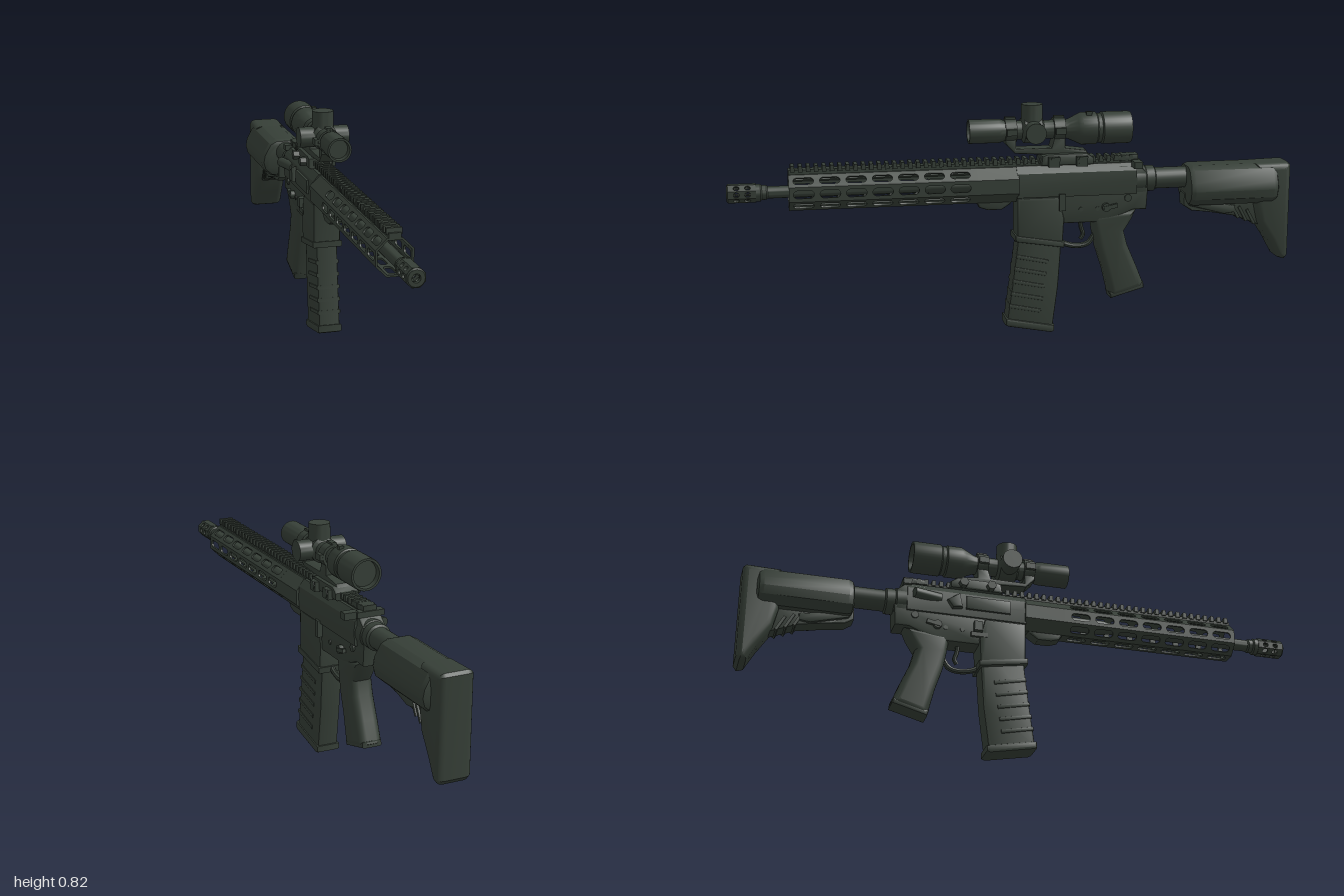
import * as THREE from 'three';
import { toCreasedNormals } from 'three/addons/utils/BufferGeometryUtils.js';

const dark = new THREE.MeshStandardMaterial({ color: 0x363f37 });
dark.name = 'dark olive';
const BORE = 0.545, SIGHT = 0.733;

export function createModel() {
  const root = new THREE.Group();
  root.name = 'model';

  const add = (name, geo) => {
    const m = new THREE.Mesh(toCreasedNormals(geo, 0.55), dark);
    m.name = name;
    root.add(m);
  };
  const box = (name, w, h, d, x, y, z, tilt = 0) =>
    add(name, new THREE.BoxGeometry(w, h, d).rotateX(tilt).translate(x, y, z));

  // Outline in (z, y), extruded across x and centred, with soft edges
  const shapeOf = (pts) => new THREE.Shape(pts.map(([a, b]) => new THREE.Vector2(a, b)));
  const slab = (name, pts, width, bevel = 0.008, x = 0, holes = [], seg = 2) => {
    const s = shapeOf(pts);
    holes.forEach((h) => s.holes.push(shapeOf(h)));
    const depth = width - 2 * bevel;
    const g = new THREE.ExtrudeGeometry(s, {
      depth, bevelEnabled: bevel > 0, bevelThickness: bevel, bevelSize: bevel,
      bevelOffset: -bevel, bevelSegments: seg,
    });
    add(name, g.translate(0, 0, -depth / 2).rotateY(-Math.PI / 2).translate(x, 0, 0));
  };

  // Turned part along z from (radius, z) points running backwards to forwards
  const turned = (name, pts, y, sides = 28) =>
    add(name, new THREE.LatheGeometry(pts.map(([r, z]) => new THREE.Vector2(r, z)), sides)
      .rotateX(Math.PI / 2).translate(0, y, 0));

  // Cylinder lying along x
  const pin = (name, r, x0, x1, y, z, sides = 18) =>
    add(name, new THREE.CylinderGeometry(r, r, x1 - x0, sides)
      .rotateZ(Math.PI / 2).translate((x0 + x1) / 2, y, z));
  const tube = (name, pts, r) =>
    add(name, new THREE.TubeGeometry(new THREE.CatmullRomCurve3(
      pts.map(([z, y]) => new THREE.Vector3(0, y, z))), 24, r, 8));

  // Eight-sided shell of plates pierced by rounded slots
  const shell = (name, apothem, z0, z1, centres, len, wid, thick) => {
    const half = apothem * Math.tan(Math.PI / 8);
    for (let k = 0; k < 8; k++) {
      const s = shapeOf([[-half, z0], [half, z0], [half, z1], [-half, z1]]);
      if (k > 0) centres.forEach((c) => {
        const r = wid / 2, d = len / 2 - r, h = new THREE.Path();
        h.absarc(0, c + d, r, 0, Math.PI, false);
        h.absarc(0, c - d, r, Math.PI, Math.PI * 2, false);
        h.closePath();
        s.holes.push(h);
      });
      const g = new THREE.ExtrudeGeometry(s, { depth: thick, bevelEnabled: false, curveSegments: 6 });
      add(name, g.rotateX(Math.PI / 2).translate(0, apothem, 0)
        .rotateZ(k * Math.PI / 4).translate(0, BORE, 0));
    }
  };

  // Barrel and ported muzzle
  turned('barrel', [[0, 0], [0.026, 0], [0.026, 0.3], [0.021, 0.32], [0.021, 0.86], [0.025, 0.865],
    [0.025, 0.88], [0.03, 0.885], [0.03, 0.905], [0.012, 0.91], [0, 0.91]], BORE);
  shell('muzzle', 0.031, 0.9, 0.995, [0.928, 0.966], 0.02, 0.016, 0.009);
  turned('muzzleCollar', [[0.014, 0.985], [0.031, 0.985], [0.031, 0.995], [0.027, 1], [0.014, 1], [0.014, 0.985]], BORE);

  // Slotted handguard
  const slots = Array.from({ length: 7 }, (_, i) => 0.2 + i * 0.09);
  shell('handguard', 0.062, 0.14, 0.79, slots, 0.07, 0.027, 0.007);
  add('handguardRear', new THREE.CylinderGeometry(0.067, 0.067, 0.15, 8, 1)
    .rotateY(Math.PI / 8).rotateX(Math.PI / 2).translate(0, BORE, 0.07));
  slab('handguardClamp', [[0.15, 0.5], [0.13, 0.465], [0.1, 0.455], [0.05, 0.455], [0.02, 0.475], [0, 0.5]], 0.05);

  // Top rail with teeth
  box('railBase', 0.04, 0.022, 1.22, 0, 0.612, 0.18);
  for (let z = 0.775; z > -0.43; z -= 0.027) {
    slab('railTooth', [[z + 0.008, 0.616], [z + 0.006, 0.637], [z - 0.006, 0.637], [z - 0.008, 0.616]], 0.052, 0);
  }

  // Upper receiver
  const upper = shapeOf([[-0.03, 0.61], [-0.05, 0.585], [-0.054, 0.55], [-0.05, 0.5], [0.05, 0.5],
    [0.054, 0.55], [0.05, 0.585], [0.03, 0.61]]);
  add('upperReceiver', new THREE.ExtrudeGeometry(upper, { depth: 0.43, bevelEnabled: false })
    .translate(0, 0, -0.43));
  slab('receiverRear', [[-0.36, 0.5], [-0.36, 0.6], [-0.44, 0.6], [-0.47, 0.575], [-0.47, 0.5]], 0.085);
  slab('ejectionCover', [[-0.06, 0.525], [-0.06, 0.575], [-0.22, 0.575], [-0.22, 0.525]], 0.012, 0.003, -0.054);
  slab('caseDeflector', [[-0.235, 0.525], [-0.245, 0.58], [-0.29, 0.55], [-0.27, 0.52]], 0.03, 0.006, -0.055);
  add('forwardAssist', new THREE.CylinderGeometry(0.018, 0.018, 0.1, 16)
    .rotateX(Math.PI / 2).rotateY(0.25).translate(-0.055, 0.56, -0.36));
  box('chargingHandle', 0.1, 0.02, 0.03, 0, 0.61, -0.43);
  box('chargingLatch', 0.05, 0.024, 0.03, 0.068, 0.61, -0.425);
  slab('rearSightBlock', [[-0.36, 0.615], [-0.36, 0.635], [-0.44, 0.638], [-0.44, 0.615]], 0.05, 0.004);

  // Lower receiver and magazine well
  slab('lowerReceiver', [[-0.005, 0.515], [-0.005, 0.4], [-0.17, 0.4], [-0.3, 0.4], [-0.36, 0.415],
    [-0.42, 0.44], [-0.47, 0.44], [-0.475, 0.52]], 0.082);
  slab('magazineWell', [[0, 0.5], [0, 0.345], [-0.165, 0.318], [-0.17, 0.42], [-0.15, 0.5]], 0.1, 0.012);
  slab('magazineWellLip', [[0.006, 0.365], [0.006, 0.343], [-0.168, 0.315], [-0.17, 0.337]], 0.108, 0.005);
  for (const z of [-0.02, -0.4]) pin('receiverPin', 0.013, -0.047, 0.047, 0.485, z);
  for (const z of [-0.23, -0.29]) pin('triggerPin', 0.008, -0.044, 0.044, 0.45, z);
  for (const s of [-1, 1]) {
    pin('selectorHub', 0.015, s * 0.043 - 0.013, s * 0.043 + 0.013, 0.455, -0.32);
    box('selectorLever', 0.012, 0.014, 0.05, s * 0.053, 0.457, -0.335, 0.2);
  }
  box('magazineRelease', 0.02, 0.035, 0.03, -0.05, 0.465, -0.175);
  box('magazineFence', 0.014, 0.016, 0.06, -0.045, 0.435, -0.17);
  box('boltCatch', 0.02, 0.06, 0.022, 0.05, 0.48, -0.16);

  // Trigger and guard
  tube('triggerGuard', [[-0.155, 0.335], [-0.18, 0.318], [-0.225, 0.308], [-0.265, 0.316], [-0.29, 0.35]], 0.01);
  tube('trigger', [[-0.235, 0.41], [-0.24, 0.375], [-0.247, 0.35], [-0.238, 0.332]], 0.008);

  // Pistol grip
  slab('grip', [[-0.27, 0.43], [-0.28, 0.36], [-0.292, 0.3], [-0.318, 0.22], [-0.34, 0.13], [-0.355, 0.117],
    [-0.455, 0.145], [-0.468, 0.16], [-0.44, 0.23], [-0.405, 0.31], [-0.392, 0.36], [-0.42, 0.405],
    [-0.435, 0.44]], 0.084, 0.025, 0, [], 4);
  slab('gripBase', [[-0.338, 0.138], [-0.345, 0.114], [-0.468, 0.148], [-0.465, 0.17]], 0.076, 0.009);

  // Magazine with ribs and base plate
  slab('magazine', [[-0.01, 0.42], [-0.002, 0.33], [0.014, 0.2], [0.036, 0.045], [-0.13, 0.01],
    [-0.151, 0.17], [-0.16, 0.3], [-0.162, 0.42]], 0.078, 0.01);
  for (let i = 0; i < 5; i++) {
    const y = 0.1 + i * 0.045, f = 0.027 - i * 0.0065;
    slab('magazineRib', [[f + 0.002, y], [f, y + 0.014], [f - 0.115, y - 0.01], [f - 0.113, y - 0.024]], 0.084, 0.003);
  }
  slab('magazineBase', [[0.04, 0.062], [0.041, 0.036], [0.03, 0.03], [-0.125, 0.001], [-0.137, 0.006],
    [-0.137, 0.028]], 0.09, 0.008);

  // Stock tube and castle nut
  turned('stockTube', [[0, -0.8], [0.038, -0.8], [0.038, -0.505], [0.046, -0.5], [0.046, -0.47],
    [0.05, -0.465], [0.05, -0.43], [0, -0.43]], BORE);

  // Stock body with broad cheek pieces
  const half = [[0.036, 0.592], [0.062, 0.578], [0.086, 0.535], [0.092, 0.505], [0.084, 0.475], [0.055, 0.45]];
  const cheek = shapeOf([...half, ...half.map(([x, y]) => [-x, y]).reverse()]);
  add('stockBody', new THREE.ExtrudeGeometry(cheek, {
    depth: 0.29, bevelEnabled: true, bevelThickness: 0.022, bevelSize: 0.02, bevelOffset: -0.02, bevelSegments: 2,
  }).translate(0, 0, -0.928));
  slab('stockButt', [[-0.87, 0.592], [-0.99, 0.595], [-1, 0.585], [-1, 0.25], [-0.988, 0.235], [-0.965, 0.242],
    [-0.93, 0.305], [-0.885, 0.375], [-0.87, 0.44]], 0.126, 0.024, 0, [], 4);
  slab('stockLowerFrame', [[-0.61, 0.49], [-0.61, 0.445], [-0.64, 0.425], [-0.7, 0.418], [-0.8, 0.4],
    [-0.9, 0.36], [-0.93, 0.49]], 0.06, 0.006, 0,
  [[[-0.635, 0.452], [-0.665, 0.452], [-0.665, 0.436], [-0.645, 0.436]]]);
  slab('stockLever', [[-0.62, 0.46], [-0.63, 0.445], [-0.76, 0.41], [-0.8, 0.415], [-0.8, 0.44], [-0.7, 0.46]], 0.078, 0.006);
  for (let i = 0; i < 3; i++) {
    box('stockBrace', 0.074, 0.06, 0.01, 0, 0.42 - i * 0.012, -0.8 - i * 0.03, 0.5);
  }

  // Scope body with recessed lenses at both ends
  turned('scope', [[0, -0.392], [0.045, -0.392], [0.047, -0.412], [0.055, -0.412], [0.057, -0.405], [0.057, -0.31],
    [0.052, -0.305], [0.052, -0.292], [0.057, -0.287], [0.057, -0.235], [0.05, -0.22], [0.036, -0.19], [0.033, -0.18],
    [0.033, -0.1], [0.046, -0.092], [0.046, -0.03], [0.033, -0.022], [0.033, 0.03], [0.04, 0.05],
    [0.042, 0.06], [0.042, 0.165], [0.035, 0.165], [0.033, 0.145], [0, 0.145]], SIGHT, 36);
  pin('sideTurretLeft', 0.036, 0.03, 0.088, SIGHT, -0.06, 28);
  pin('sideTurretRight', 0.036, -0.088, -0.03, SIGHT, -0.06, 28);
  add('topTurret', new THREE.CylinderGeometry(0.037, 0.039, 0.07, 28).translate(0, 0.79, -0.06));
  box('zoomTab', 0.016, 0.016, 0.02, 0.02, SIGHT + 0.055, -0.26);

  // Scope mount: rings, cantilever arm and rail clamp
  for (const z of [0.018, -0.155]) {
    turned('mountRing', [[0.03, z - 0.02], [0.042, z - 0.02], [0.042, z + 0.02], [0.03, z + 0.02]], SIGHT);
    box('ringCap', 0.02, 0.016, 0.036, 0, SIGHT + 0.04, z);
    for (const s of [-1, 1]) box('ringLug', 0.022, 0.022, 0.036, s * 0.042, SIGHT, z);
  }
  slab('mountArm', [[0.038, 0.705], [0.038, 0.69], [0.005, 0.655], [-0.1, 0.648], [-0.26, 0.64], [-0.25, 0.66],
    [-0.175, 0.67], [-0.175, 0.705], [-0.135, 0.705], [-0.125, 0.672], [0, 0.672], [0, 0.705]], 0.062, 0.006);
  slab('railClamp', [[-0.085, 0.61], [-0.09, 0.645], [-0.11, 0.652], [-0.25, 0.652], [-0.275, 0.635], [-0.275, 0.61]], 0.09, 0.008);
  for (const z of [-0.13, -0.23]) {
    pin('clampBolt', 0.017, -0.067, 0.062, 0.628, z, 6);
    box('clampJaw', 0.02, 0.035, 0.04, 0.05, 0.625, z);
  }
  return root;
}
